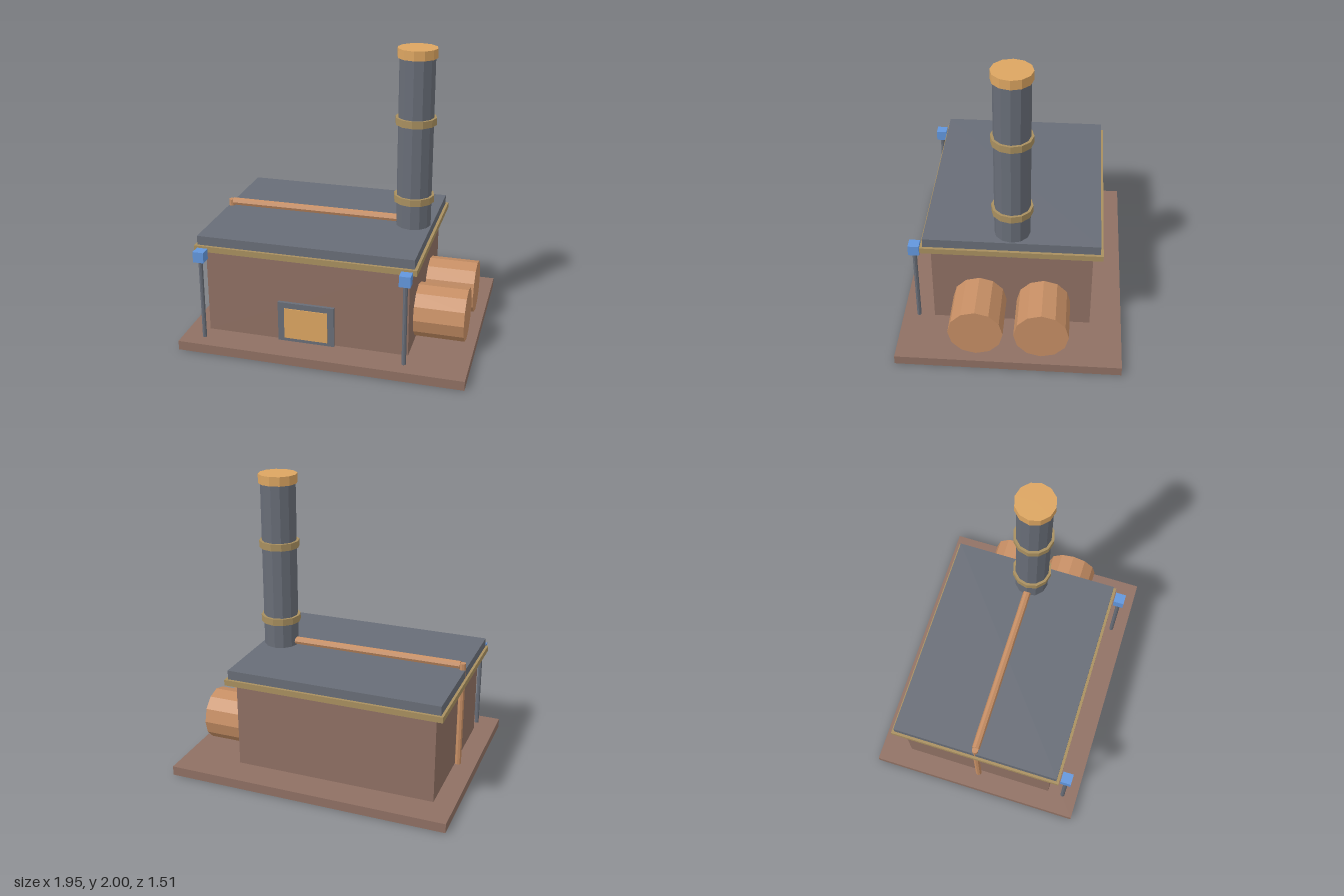
import * as THREE from 'three';

const material = (color) => new THREE.MeshStandardMaterial({ color, flatShading: true });

export function createModel() {
  const model = new THREE.Group();
  const brick = material(0x8f7063);
  const slate = material(0x686d77);
  const brass = material(0xa88f5f);
  const copper = material(0xc68e64);
  const amber = material(0xdca561);
  const blue = material(0x6296dc);

  const add = (name, geometry, mat, x, y, z) => {
    const mesh = new THREE.Mesh(geometry, mat);
    mesh.name = name;
    mesh.position.set(x, y, z);
    model.add(mesh);
    return mesh;
  };
  // Box given by its lower and upper corners
  const box = (name, mat, [x0, y0, z0], [x1, y1, z1]) =>
    add(name, new THREE.BoxGeometry(x1 - x0, y1 - y0, z1 - z0), mat,
      (x0 + x1) / 2, (y0 + y1) / 2, (z0 + z1) / 2);
  // Upright cylinder from y0 to y1
  const column = (name, mat, r, y0, y1, x, z, sides = 12) =>
    add(name, new THREE.CylinderGeometry(r, r, y1 - y0, sides), mat, x, (y0 + y1) / 2, z);
  // Lying cylinder from x0 to x1
  const bar = (name, mat, r, x0, x1, y, z, sides = 12) => {
    const geometry = new THREE.CylinderGeometry(r, r, x1 - x0, sides).rotateZ(-Math.PI / 2);
    return add(name, geometry, mat, (x0 + x1) / 2, y, z);
  };

  // Building
  box('base', brick, [-0.973, 0, -0.757], [0.973, 0.065, 0.757]);
  box('walls', brick, [-0.83, 0.065, -0.54], [0.565, 0.69, 0.54]);
  box('roofTrim', brass, [-0.887, 0.677, -0.605], [0.622, 0.717, 0.605]);
  box('roof', slate, [-0.87, 0.717, -0.586], [0.603, 0.78, 0.586]);

  // Furnace door
  box('doorFrame', slate, [-0.325, 0.065, 0.53], [0.065, 0.35, 0.562]);
  box('doorPanel', amber, [-0.28, 0.09, 0.54], [0.02, 0.31, 0.568]);

  // Chimney with bands and cap
  const cx = 0.475;
  column('chimney', slate, 0.12, 0.65, 1.96, cx, 0);
  for (const y of [0.977, 1.517]) column('chimneyBand', brass, 0.138, y - 0.024, y + 0.024, cx, 0);
  column('chimneyCap', amber, 0.133, 1.937, 2, cx, 0);

  // Side tanks
  for (const side of [1, -1]) bar('tank', copper, 0.183, 0.54, 0.905, 0.25, side * 0.218);

  // Pipe along the roof and down the wall
  bar('roofPipe', copper, 0.028, -0.835, 0.4, 0.81, 0, 8);
  column('downPipe', copper, 0.022, 0.065, 0.825, -0.85, 0, 8);

  // Lamp posts
  for (const x of [-0.825, 0.56]) {
    column('lampPost', slate, 0.015, 0.065, 0.65, x, 0.65, 8);
    box('lamp', blue, [x - 0.037, 0.633, 0.613], [x + 0.037, 0.707, 0.687]);
  }
  return model;
}
